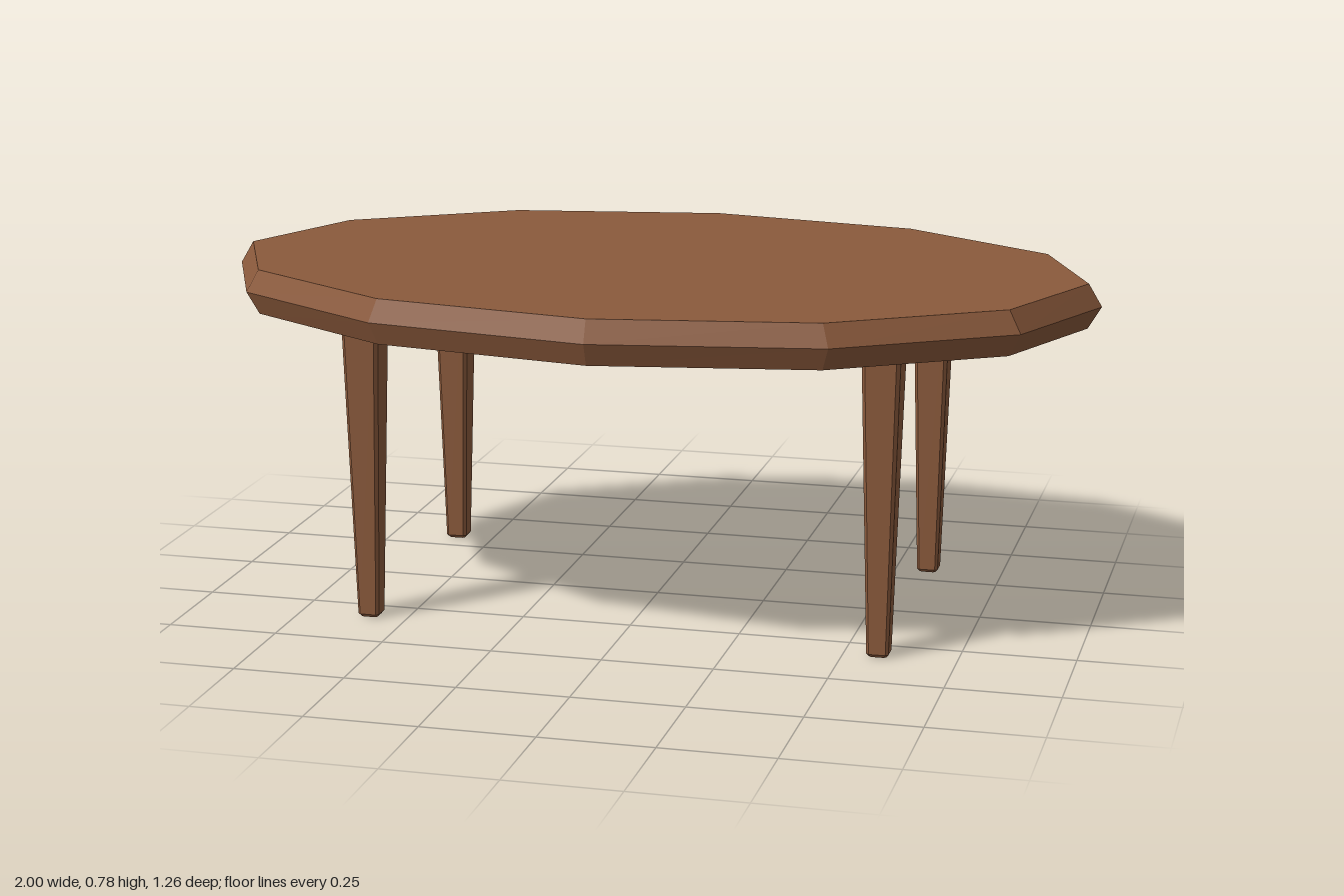
import * as THREE from 'three';

// Closed solid from matching horizontal rings of [x, y, z], listed bottom to top
function loft(rings) {
  const n = rings[0].length;
  const last = (rings.length - 1) * n;
  const index = [];
  for (let r = 0; r < rings.length - 1; r++) {
    for (let i = 0; i < n; i++) {
      const a = r * n + i, b = r * n + (i + 1) % n;
      index.push(a, a + n, b, b, a + n, b + n);
    }
  }
  for (let i = 1; i < n - 1; i++) {
    index.push(0, i, i + 1);
    index.push(last, last + i + 1, last + i);
  }
  const geometry = new THREE.BufferGeometry();
  geometry.setAttribute('position', new THREE.Float32BufferAttribute(rings.flat(2), 3));
  geometry.setIndex(index);
  const flat = geometry.toNonIndexed();
  flat.computeVertexNormals();
  return flat;
}

// Twelve-sided oval
function ovalRing(y, rx, rz) {
  return Array.from({ length: 12 }, (_, i) => {
    const a = (i / 12) * Math.PI * 2;
    return [rx * Math.cos(a), y, rz * Math.sin(a)];
  });
}

// Square with clipped corners
function legRing(y, half, chamfer) {
  const c = half - chamfer;
  return [
    [half, -c], [half, c], [c, half], [-c, half],
    [-half, c], [-half, -c], [-c, -half], [c, -half],
  ].map(([x, z]) => [x, y, z]);
}

export function createModel() {
  const model = new THREE.Group();
  model.name = 'table';
  const wood = new THREE.MeshStandardMaterial({ color: 0x8b5a3c, flatShading: true });

  // Oval top with an edge pointed at mid-height
  const top = new THREE.Mesh(loft([
    ovalRing(0.68, 0.97, 0.608),
    ovalRing(0.73, 1, 0.628),
    ovalRing(0.78, 0.97, 0.608),
  ]), wood);
  top.name = 'tableTop';
  model.add(top);

  // Four tapered legs with softened corners and feet, set very slightly off centre
  const legGeometry = loft([
    legRing(0, 0.019, 0.005),
    legRing(0.007, 0.0245, 0.006),
    legRing(0.68, 0.0425, 0.008),
  ]);
  for (const [end, z] of [['front', 0.317], ['back', -0.333]]) {
    for (const [side, x] of [['Left', 0.577], ['Right', -0.588]]) {
      const leg = new THREE.Mesh(legGeometry, wood);
      leg.name = `${end}${side}Leg`;
      leg.position.set(x, 0, z);
      model.add(leg);
    }
  }
  return model;
}
